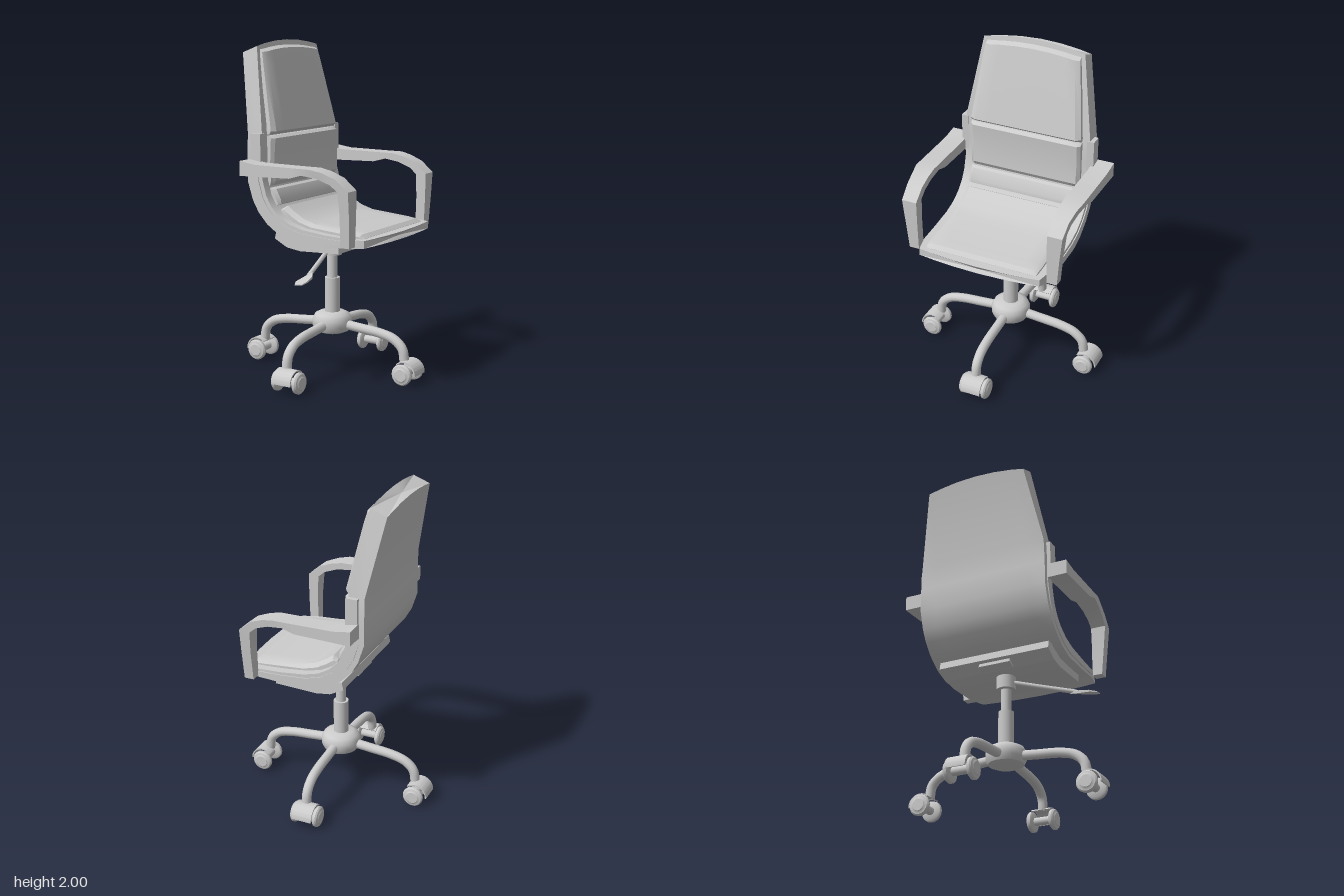
import * as THREE from 'three';
import { toCreasedNormals } from 'three/addons/utils/BufferGeometryUtils.js';

const material = new THREE.MeshStandardMaterial({ color: 0xcccccc, side: THREE.DoubleSide });

function add(parent, name, geometry, x = 0, y = 0, z = 0) {
  const mesh = new THREE.Mesh(geometry, material);
  mesh.name = name;
  mesh.position.set(x, y, z);
  parent.add(mesh);
  return mesh;
}

// Closed solid through equal-sized rings of [x, y, z] points, capped at both ends.
function loft(rings, crease = 0.5) {
  const n = rings[0].length, pts = rings.flat(), index = [];
  for (let r = 0; r < rings.length - 1; r++) {
    for (let i = 0; i < n; i++) {
      const a = r * n + i, b = r * n + (i + 1) % n;
      index.push(a, b, b + n, a, b + n, a + n);
    }
  }
  [rings[0], rings[rings.length - 1]].forEach((ring, end) => {
    const first = end * (rings.length - 1) * n, c = pts.length;
    pts.push([0, 1, 2].map(k => ring.reduce((s, p) => s + p[k], 0) / n));
    for (let i = 0; i < n; i++) {
      const a = first + i, b = first + (i + 1) % n;
      index.push(...(end ? [c, a, b] : [c, b, a]));
    }
  });
  // Turn the faces outward if the rings run the other way
  const v = pts.map(p => new THREE.Vector3(...p));
  let volume = 0;
  for (let i = 0; i < index.length; i += 3) {
    volume += v[index[i]].dot(v[index[i + 1]].clone().cross(v[index[i + 2]]));
  }
  if (volume < 0) index.reverse();
  const g = new THREE.BufferGeometry();
  g.setAttribute('position', new THREE.Float32BufferAttribute(pts.flat(), 3));
  g.setIndex(index);
  return toCreasedNormals(g, crease);
}

// Upholstered panel: stations are [backX, backY, frontX, frontY, halfWidth, bulgeX, bulgeY].
function panel(stations, bevel = 0) {
  return loft(stations.map(([bx, by, fx, fy, w, ex = 0, ey = 0]) => {
    const ring = [];
    const us = [-1, -0.75, -0.4, 0, 0.4, 0.75, 1];
    us.forEach(u => ring.push([bx + ex * (1 - u * u), by + ey * (1 - u * u), u * w]));
    if (bevel) ring.push([bx + (fx - bx) * 0.6, by + (fy - by) * 0.6, w]);
    us.slice().reverse().forEach(u =>
      ring.push([fx + ex * (1 - u * u), fy + ey * (1 - u * u), u * (w - bevel)]));
    if (bevel) ring.push([bx + (fx - bx) * 0.6, by + (fy - by) * 0.6, -w]);
    return ring;
  }));
}

function extrude(points, z0, z1) {
  const shape = new THREE.Shape(points.map(p => new THREE.Vector2(...p)));
  const g = new THREE.ExtrudeGeometry(shape, { depth: z1 - z0, bevelEnabled: false });
  return g.translate(0, 0, z0);
}

function tube(points, radius, segments = 24) {
  const curve = new THREE.CatmullRomCurve3(points.map(p => new THREE.Vector3(...p)));
  return new THREE.TubeGeometry(curve, segments, radius, 12);
}

function createCaster() {
  const caster = new THREE.Group();
  caster.name = 'caster';
  // Twin wheels with a shallow domed outer face
  const profile = [[0, -0.02], [0.05, -0.02], [0.062, -0.012], [0.064, 0.004],
    [0.056, 0.013], [0.042, 0.015], [0.036, 0.02], [0, 0.02]].map(p => new THREE.Vector2(...p));
  for (const s of [-1, 1]) {
    const wheel = add(caster, 'wheel', toCreasedNormals(new THREE.LatheGeometry(profile, 24), 0.6), 0, 0.064, s * 0.073);
    wheel.rotation.x = s * Math.PI / 2;
  }
  const axle = add(caster, 'axle', new THREE.CylinderGeometry(0.025, 0.025, 0.12, 16), 0, 0.064, 0);
  axle.rotation.x = Math.PI / 2;
  // Curved hood, flared on the outer side
  const hood = new THREE.Shape();
  hood.absarc(0, 0, 0.076, -0.05, 2.3, false);
  hood.absarc(0, 0, 0.068, 2.3, -0.05, true);
  const hoodGeometry = new THREE.ExtrudeGeometry(hood, { depth: 0.125, bevelEnabled: false, curveSegments: 12 });
  add(caster, 'hood', toCreasedNormals(hoodGeometry, 0.5), 0.006, 0.064, -0.0625);
  return caster;
}

function createBase() {
  const base = new THREE.Group();
  base.name = 'base';
  const hub = [[0, 0.24], [0.07, 0.24], [0.105, 0.255], [0.12, 0.285], [0.12, 0.325],
    [0.105, 0.355], [0.075, 0.37], [0, 0.37]].map(p => new THREE.Vector2(...p));
  add(base, 'hub', toCreasedNormals(new THREE.LatheGeometry(hub, 32), 0.7));
  [-0.007, -0.012, 0.007, -0.025].forEach((offset, i) => {
    const leg = new THREE.Group();
    leg.name = 'leg';
    leg.rotation.y = i * Math.PI / 2;
    add(leg, 'legTube', tube([[0.06, 0.3, 0], [0.2, 0.288, 0], [0.34, 0.275, 0], [0.43, 0.25, 0],
      [0.485, 0.2, 0], [0.5, 0.125, 0]], 0.029));
    const caster = createCaster();
    caster.position.set(0.517, 0, offset);
    leg.add(caster);
    base.add(leg);
  });
  // Gas lift column
  add(base, 'columnSleeve', new THREE.CylinderGeometry(0.046, 0.046, 0.23, 24), 0, 0.465, 0);
  add(base, 'columnPiston', new THREE.CylinderGeometry(0.031, 0.031, 0.2, 24), 0, 0.65, 0);
  add(base, 'columnCollar', new THREE.CylinderGeometry(0.058, 0.058, 0.08, 24), 0, 0.76, 0);
  return base;
}

function createSeat() {
  const seat = new THREE.Group();
  seat.name = 'seat';
  // One-piece shell from the headrest down and forward to the seat edge
  const shell = [
    [-0.415, 1.93, -0.315, 1.967, 0.32, -0.008, 0.033],
    [-0.325, 1.475, -0.225, 1.46, 0.405],
    [-0.325, 1.33, -0.22, 1.33, 0.41],
    [-0.325, 1.19, -0.22, 1.2, 0.41],
    [-0.29, 1.08, -0.195, 1.11, 0.41],
    [-0.25, 1.01, -0.16, 1.05, 0.41],
    [-0.19, 0.945, -0.11, 1.0, 0.41],
    [-0.1, 0.885, -0.04, 0.96, 0.41],
    [0, 0.853, 0.05, 0.935, 0.41],
    [0.18, 0.85, 0.2, 0.918, 0.41],
    [0.345, 0.856, 0.345, 0.91, 0.408],
    [0.445, 0.862, 0.445, 0.905, 0.385, 0.03, 0]];
  add(seat, 'shell', panel(shell));
  // Thin side trim following the shell curve
  const trim = shell.slice(2, 11).map(([bx, by, fx, fy]) =>
    [bx + (fx - bx) * 0.3, by + (fy - by) * 0.3, bx + (fx - bx) * 0.75, by + (fy - by) * 0.75, 0.416]);
  add(seat, 'sideTrim', panel(trim));

  // Cushions
  add(seat, 'headCushion', panel([
    [-0.32, 1.95, -0.312, 1.95, 0.295, -0.004, 0.02], [-0.312, 1.93, -0.28, 1.935, 0.3, -0.004, 0.02],
    [-0.3, 1.86, -0.262, 1.865, 0.31], [-0.23, 1.52, -0.187, 1.52, 0.352],
    [-0.225, 1.48, -0.178, 1.48, 0.357], [-0.222, 1.462, -0.2, 1.462, 0.357]], 0.03));
  add(seat, 'lumbarCushion', panel([
    [-0.222, 1.455, -0.2, 1.455, 0.357], [-0.225, 1.44, -0.178, 1.44, 0.357],
    [-0.225, 1.3, -0.188, 1.3, 0.357], [-0.225, 1.19, -0.18, 1.19, 0.357],
    [-0.222, 1.165, -0.195, 1.165, 0.357]], 0.02));
  add(seat, 'lowerBackCushion', panel([
    [-0.22, 1.145, -0.195, 1.155, 0.357], [-0.21, 1.13, -0.175, 1.145, 0.357],
    [-0.18, 1.065, -0.142, 1.085, 0.357], [-0.165, 1.05, -0.14, 1.06, 0.357]], 0.02));
  add(seat, 'seatCushion', panel([
    [-0.14, 1.02, -0.13, 1.035, 0.35], [-0.125, 1.0, -0.1, 1.053, 0.355],
    [-0.08, 0.97, -0.055, 1.02, 0.357], [-0.03, 0.945, 0.01, 0.982, 0.357],
    [0.06, 0.92, 0.09, 0.958, 0.357], [0.32, 0.9, 0.335, 0.936, 0.357],
    [0.4, 0.9, 0.395, 0.928, 0.355], [0.42, 0.9, 0.42, 0.908, 0.35]], 0.03));

  // Support plate with its raised rear flange
  add(seat, 'supportPlate', extrude([[-0.12, 0.9], [-0.165, 0.9], [-0.175, 0.855], [-0.09, 0.81], [0, 0.797],
    [0.26, 0.806], [0.26, 0.86], [0, 0.87]], -0.355, 0.355));
  add(seat, 'rearBracket', extrude([[-0.155, 0.85], [-0.16, 0.825], [-0.115, 0.808], [-0.1, 0.83]], -0.1, 0.1));
  return seat;
}

function createArm(side) {
  const arm = new THREE.Group();
  arm.name = side > 0 ? 'leftArm' : 'rightArm';
  // Stations: [upperX, upperY, lowerX, lowerY, outerZ]
  const stations = [
    [-0.295, 1.322, -0.295, 1.235, 0.532], [-0.19, 1.306, -0.19, 1.238, 0.532],
    [0.06, 1.303, 0.045, 1.243, 0.532], [0.18, 1.302, 0.125, 1.266, 0.532],
    [0.25, 1.288, 0.22, 1.252, 0.52], [0.335, 1.255, 0.3, 1.222, 0.51],
    [0.412, 1.19, 0.345, 1.185, 0.505], [0.41, 1.05, 0.35, 1.05, 0.49], [0.403, 0.87, 0.345, 0.87, 0.474]];
  add(arm, 'armLoop', loft(stations.map(([ux, uy, lx, ly, z]) => [
    [ux, uy, side * 0.412], [ux, uy, side * z], [lx, ly, side * z], [lx, ly, side * 0.412]]), 0.35));
  add(arm, 'armBracket', new THREE.BoxGeometry(0.07, 0.225, 0.045), -0.255, 1.357, side * 0.408);
  return arm;
}

function createLever() {
  const lever = new THREE.Group();
  lever.name = 'heightLever';
  add(lever, 'leverRod', tube([[0, 0.765, 0.03], [0.045, 0.715, 0.22], [0.09, 0.667, 0.41]], 0.014, 8));
  // Flat paddle grip
  add(lever, 'leverPaddle', loft([
    [0.38, 0.078, 0.103, 0.666, 0.02], [0.43, 0.068, 0.135, 0.656, 0.018],
    [0.5, 0.065, 0.145, 0.648, 0.012], [0.54, 0.085, 0.135, 0.643, 0.006]
  ].map(([z, x0, x1, y, h]) => [
    [x0, y - h / 2, z], [x1, y + h / 2, z], [x1, y + h * 1.3, z], [x0, y + h / 2, z]])));
  return lever;
}

export function createModel() {
  const chair = new THREE.Group();
  chair.name = 'officeChair';
  chair.add(createBase(), createSeat(), createArm(1), createArm(-1), createLever());
  return chair;
}
